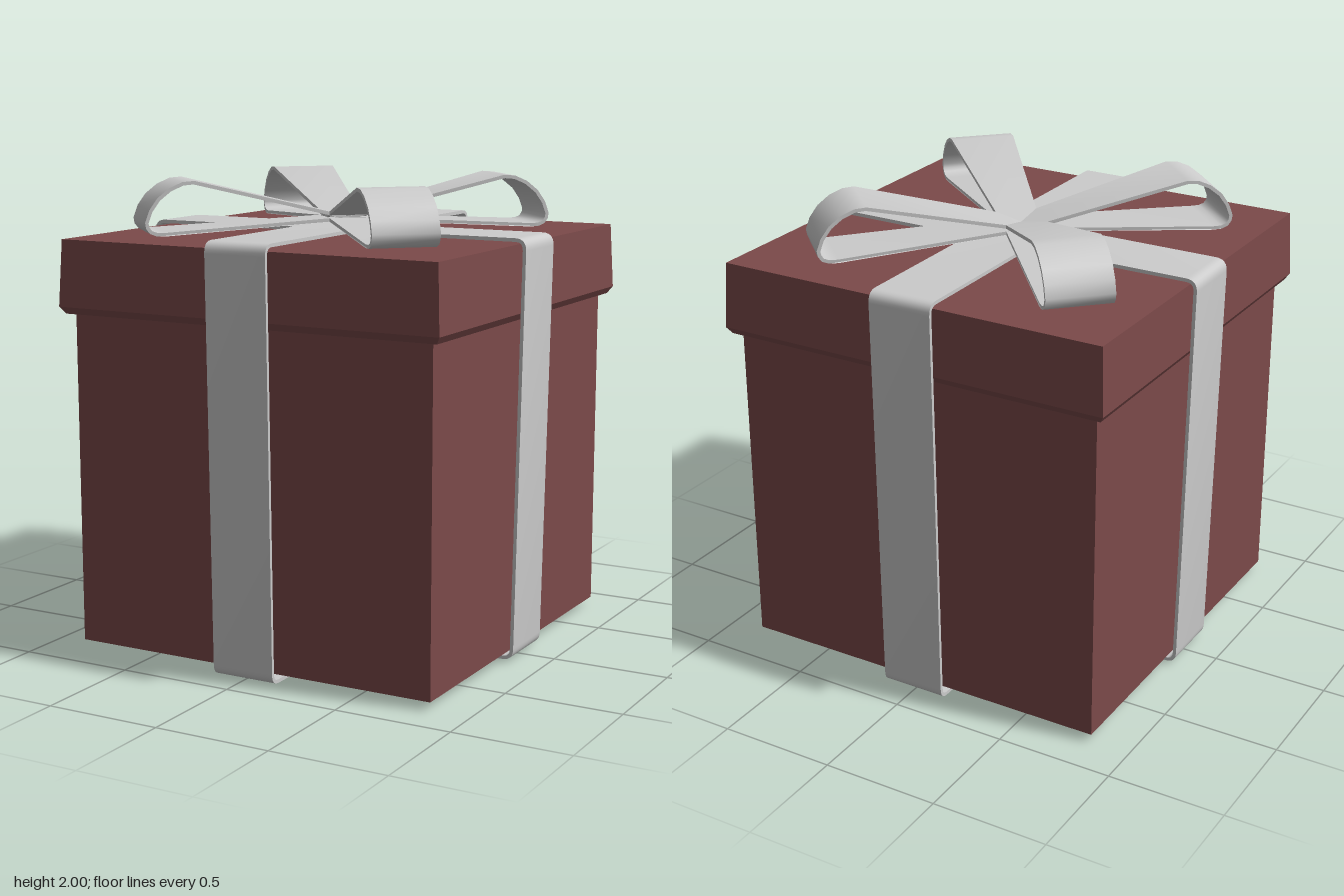
import * as THREE from 'three';
import { toCreasedNormals } from 'three/addons/utils/BufferGeometryUtils.js';

const HALF = 0.14; // half width of the ribbon
const THICK = 0.015;

const grey = new THREE.MeshStandardMaterial({ color: 0xcccccc, side: THREE.DoubleSide });
const red = new THREE.MeshStandardMaterial({ color: 0x7c4a4a, flatShading: true });

// Offsets a clockwise path to its inner side by the ribbon thickness
function offset(pts, closed) {
  const n = pts.length;
  return pts.map((p, i) => {
    const a = closed ? pts[(i + n - 1) % n] : pts[Math.max(i - 1, 0)];
    const b = closed ? pts[(i + 1) % n] : pts[Math.min(i + 1, n - 1)];
    const t = b.clone().sub(a).normalize();
    return new THREE.Vector2(p.x + t.y * THICK, p.y - t.x * THICK);
  });
}

// Extrudes a path into a ribbon centred on z = 0
function ribbon(pts, closed) {
  const inner = offset(pts, closed);
  const shape = new THREE.Shape(closed ? pts : [...pts, ...inner.reverse()]);
  if (closed) shape.holes.push(new THREE.Path(inner));
  const geo = new THREE.ExtrudeGeometry(shape, { depth: 2 * HALF, bevelEnabled: false });
  return geo.translate(0, 0, -HALF);
}

// Ribbon loop around the box: slightly wider at the top, with rounded corners
function bandGeometry(bottom, top, wBottom, wTop) {
  const r = 0.05;
  const s = new THREE.Shape();
  s.moveTo(-wBottom + r, bottom);
  s.quadraticCurveTo(-wBottom, bottom, -wBottom, bottom + r);
  s.lineTo(-wTop, top - r);
  s.quadraticCurveTo(-wTop, top, -wTop + r, top);
  s.lineTo(wTop - r, top);
  s.quadraticCurveTo(wTop, top, wTop, top - r);
  s.lineTo(wBottom, bottom + r);
  s.quadraticCurveTo(wBottom, bottom, wBottom - r, bottom);
  return toCreasedNormals(ribbon(s.getPoints(6), true), 0.7);
}

// Bow loop along +x, narrowing towards the knot
function bowGeometry() {
  const pts = [
    [0, 1.832], [0.68, 1.998], [0.73, 1.994], [0.785, 1.97], [0.835, 1.93], [0.87, 1.88],
    [0.888, 1.83], [0.884, 1.805], [0.868, 1.784], [0.84, 1.773], [0.8, 1.772], [0, 1.815],
  ].map(([x, y]) => new THREE.Vector2(x, y));
  const geo = ribbon(pts, false);
  const pos = geo.attributes.position;
  for (let i = 0; i < pos.count; i++) {
    const k = THREE.MathUtils.clamp(pos.getX(i) / 0.68, 0, 1);
    pos.setZ(i, pos.getZ(i) * THREE.MathUtils.lerp(0.58, 1, k));
  }
  return toCreasedNormals(geo, 0.7);
}

export function createModel() {
  const group = new THREE.Group();
  const add = (name, geo, mat) => {
    const mesh = new THREE.Mesh(geo, mat);
    mesh.name = name;
    group.add(mesh);
    return mesh;
  };

  // Box body
  add('box', new THREE.BoxGeometry(1.66, 1.43, 1.66), red).position.y = 0.75;

  // Lid: flared sides with a small chamfer under the rim
  const lid = [[0, 1.45], [0.86, 1.45], [0.88, 1.48], [0.867, 1.76], [0, 1.76]]
    .map(([x, y]) => new THREE.Vector2(x * Math.SQRT2, y));
  add('lid', new THREE.LatheGeometry(lid, 4).rotateY(Math.PI / 4), red);

  // Two ribbon bands crossing over the top and bottom
  add('sideRibbon', bandGeometry(0.012, 1.784, 0.872, 0.9), grey);
  add('frontRibbon', bandGeometry(0, 1.792, 0.878, 0.907), grey).rotation.y = Math.PI / 2;

  // Four bow loops on the diagonals
  const loop = bowGeometry();
  for (let i = 0; i < 4; i++) {
    const mesh = add('bowLoop' + (i + 1), loop, grey);
    mesh.rotation.y = Math.PI / 4 + (i * Math.PI) / 2;
    mesh.position.x = -0.017;
  }
  return group;
}
